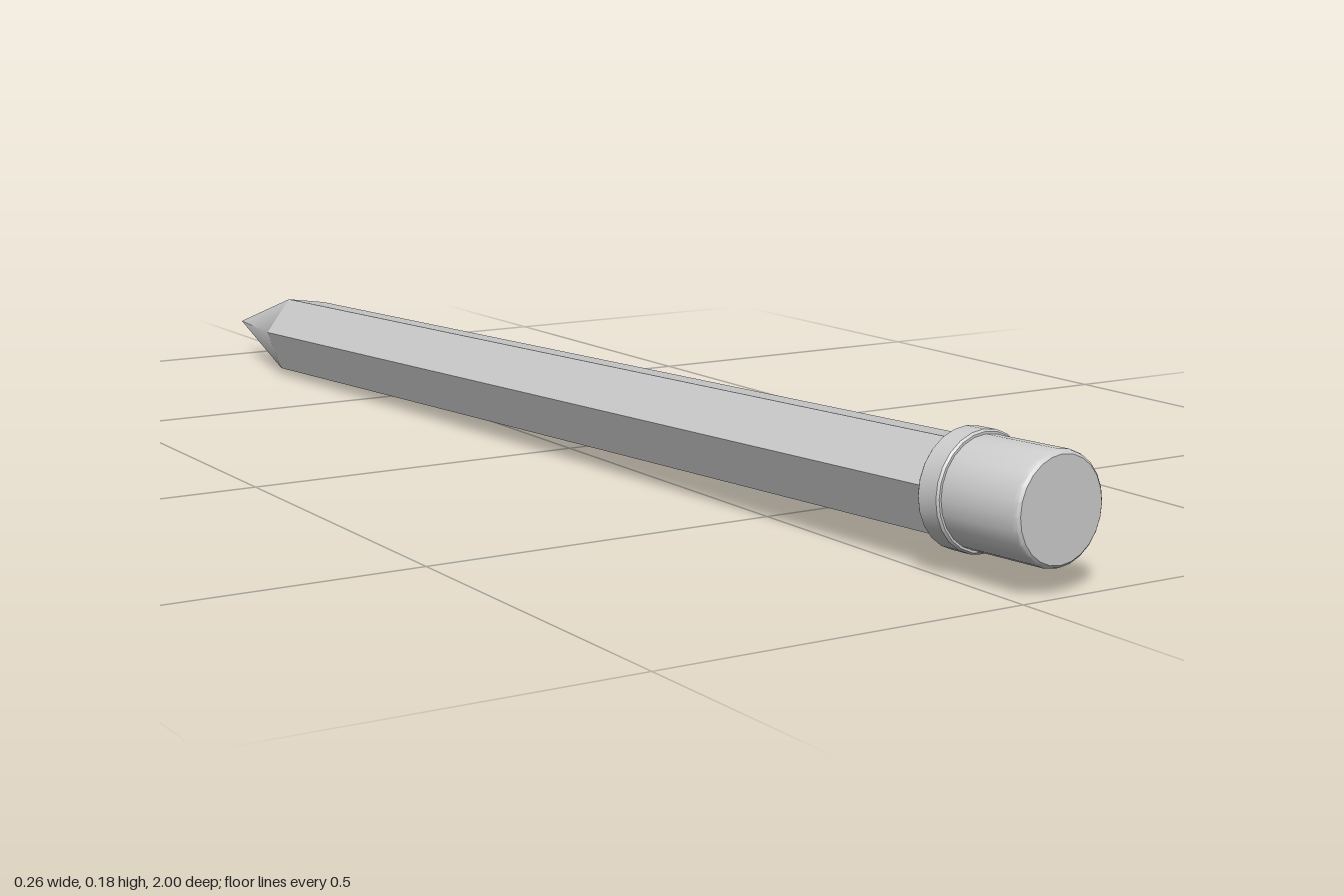
import * as THREE from 'three';
import { toCreasedNormals } from 'three/addons/utils/BufferGeometryUtils.js';

const TIP = new THREE.Vector3(-0.08, 0.065, -1);
const END = new THREE.Vector3(0.057, 0.109, 0.995);
const HEX_RADIUS = 0.068;
const HEX_TURN = THREE.MathUtils.degToRad(21);

export function createModel() {
  const model = new THREE.Group();
  const material = new THREE.MeshStandardMaterial({ color: 0xcccccc });

  // The pencil is built along +z from its point, then aimed along its tilted axis
  const pencil = new THREE.Group();
  pencil.name = 'pencil';
  pencil.position.copy(TIP);
  pencil.lookAt(END);
  model.add(pencil);
  const length = TIP.distanceTo(END);

  const add = (name, geometry) => {
    const mesh = new THREE.Mesh(geometry, material);
    mesh.name = name;
    pencil.add(mesh);
  };

  // Six-sided section between two distances from the point
  const hexSection = (r0, r1, z0, z1, open) =>
    new THREE.CylinderGeometry(r1, r0, z1 - z0, 6, 1, open, HEX_TURN)
      .rotateX(Math.PI / 2)
      .translate(0, 0, (z0 + z1) / 2);

  // Round section from [radius, distance] pairs
  const roundSection = (points) =>
    toCreasedNormals(
      new THREE.LatheGeometry(points.map(([r, z]) => new THREE.Vector2(r, z)), 24).rotateX(Math.PI / 2),
      0.6
    );

  // Sharpened point: smooth shaded, meeting the hexagonal shaft
  add('sharpenedPoint', hexSection(0, HEX_RADIUS, 0, 0.222, true));

  // Hexagonal shaft with crisp edges
  add('shaft', toCreasedNormals(hexSection(HEX_RADIUS, HEX_RADIUS, 0.222, 1.86, false), 0.5));

  // Raised band around the end of the shaft
  add('band', roundSection([
    [0.05, 1.84], [0.073, 1.84], [0.0755, 1.843], [0.0755, 1.873], [0.073, 1.876], [0.05, 1.876],
  ]));

  // Eraser with a softened rim
  add('eraser', roundSection([
    [0.07, 1.86], [0.07, length - 0.008], [0.0685, length - 0.003], [0.065, length], [0, length],
  ]));

  return model;
}
